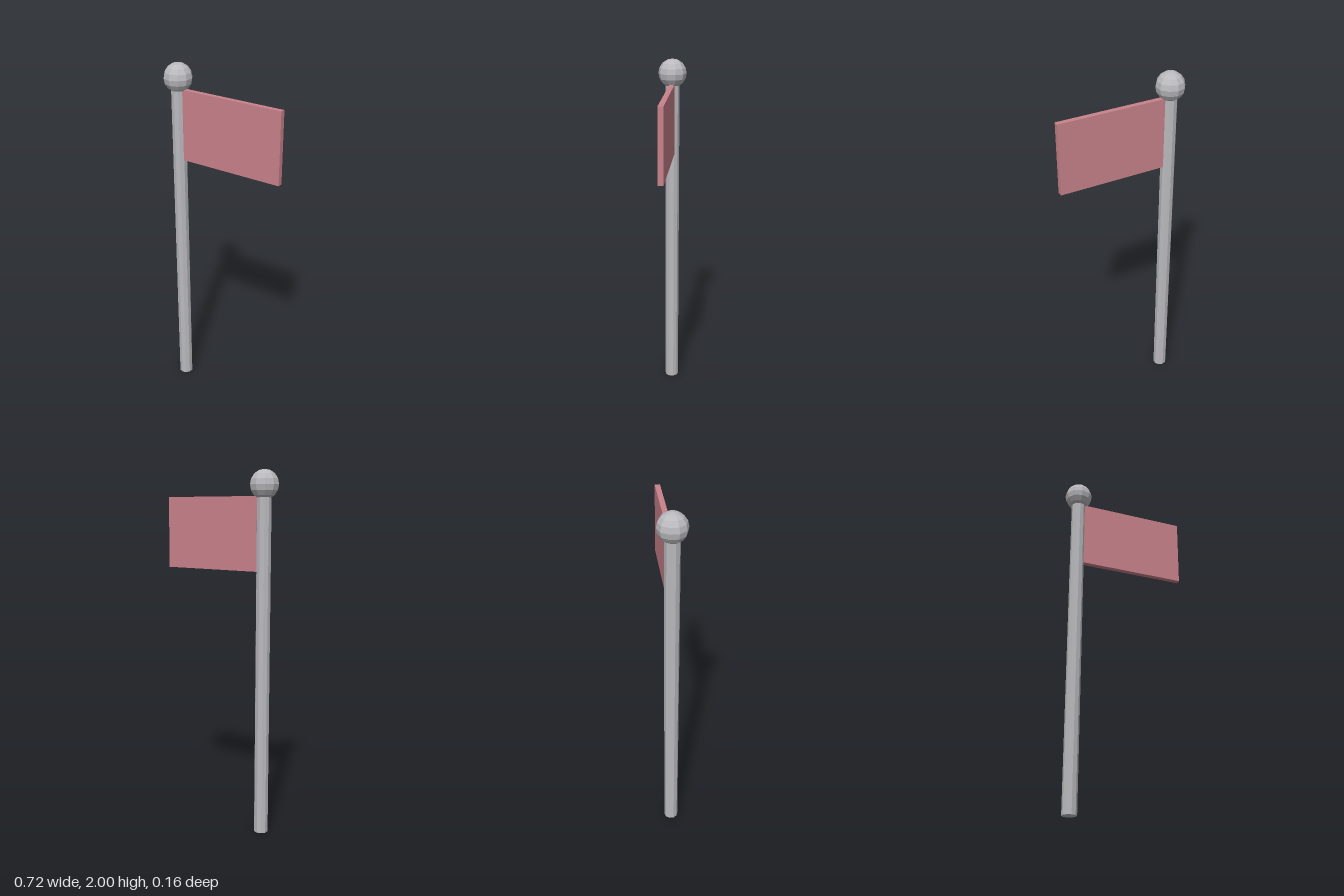
import * as THREE from 'three';

export function createModel() {
  const group = new THREE.Group();
  const metal = new THREE.MeshStandardMaterial({ color: 0xbababe, flatShading: true });
  metal.name = 'grey metal';
  const cloth = new THREE.MeshStandardMaterial({ color: 0xc9828b, flatShading: true });
  cloth.name = 'faded red cloth';

  const poleX = -0.286, poleTop = 1.862;
  const flagEnd = 0.36, flagBottom = 1.465;

  const add = (name, geometry, material, x, y) => {
    const mesh = new THREE.Mesh(geometry, material);
    mesh.name = name;
    mesh.position.set(x, y, 0);
    group.add(mesh);
    return mesh;
  };

  // Ten-sided pole with closed ends
  add('pole', new THREE.CylinderGeometry(0.04, 0.04, poleTop, 10), metal, poleX, poleTop / 2);

  // Faceted ball on top, turned so its corners line up with the pole
  const ball = add('finial', new THREE.SphereGeometry(0.079, 10, 8), metal, poleX, 1.921);
  ball.rotation.y = Math.PI / 2;

  // Stiff flag board, its inner edge sunk into the pole
  const flagStart = poleX + 0.02;
  add('flag', new THREE.BoxGeometry(flagEnd - flagStart, poleTop - flagBottom, 0.029), cloth,
    (flagStart + flagEnd) / 2, (poleTop + flagBottom) / 2);

  return group;
}
